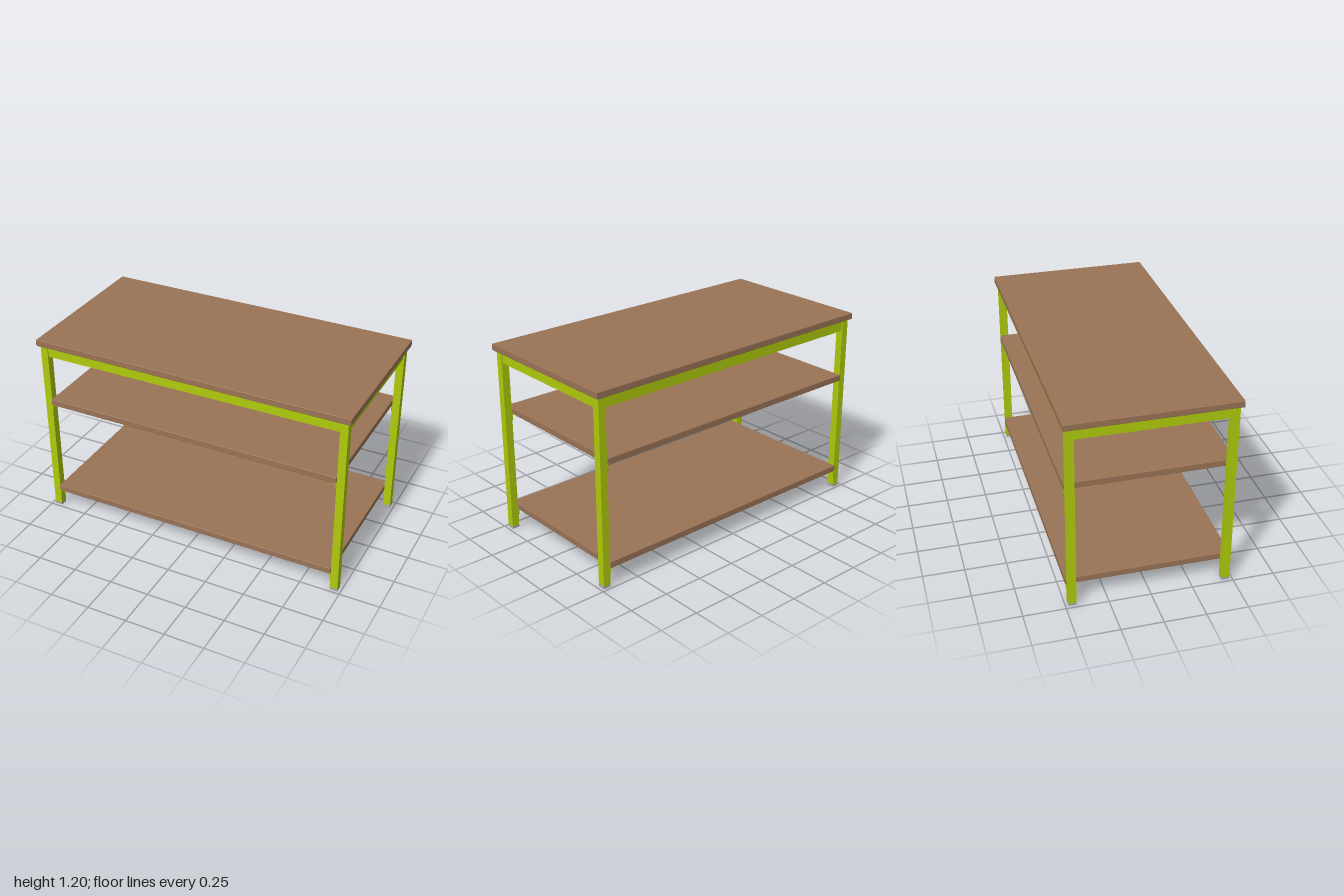
import * as THREE from 'three';
import { RoundedBoxGeometry } from 'three/addons/geometries/RoundedBoxGeometry.js';

export function createModel() {
  const model = new THREE.Group();
  model.name = 'workbench';
  const make = (name, color) => {
    const m = new THREE.MeshStandardMaterial({ color });
    m.name = name;
    return m;
  };
  const wood = make('brown wood', 0x9a7456);
  const green = make('green paint', 0xb0cb0c);
  const grey = make('grey plastic', 0xaaaaaa);

  const add = (name, geometry, material, x, y, z, parent = model) => {
    const mesh = new THREE.Mesh(geometry, material);
    mesh.name = name;
    mesh.position.set(x, y, z);
    parent.add(mesh);
    return mesh;
  };
  const box = (name, size, material, x, y, z, parent) =>
    add(name, new THREE.BoxGeometry(...size), material, x, y, z, parent);

  // Boards with slightly softened edges
  const board = (name, w, d, y) =>
    add(name, new RoundedBoxGeometry(w, 0.04, d, 1, 0.004), wood, 0, y, 0);
  board('worktop', 2, 1, 1.18);
  board('middleShelf', 1.866, 0.98, 0.78);
  board('lowerShelf', 1.866, 0.98, 0.14);

  const legX = 0.957, legZ = 0.459, legW = 0.047;

  // Angle bracket: round-ended wall plate and round-ended shelf plate
  const plateShape = new THREE.Shape();
  plateShape.moveTo(-0.026, 0);
  plateShape.lineTo(-0.026, -0.024);
  plateShape.absarc(0, -0.024, 0.026, Math.PI, Math.PI * 2, false);
  plateShape.lineTo(0.026, 0);
  plateShape.closePath();
  const plate = new THREE.ExtrudeGeometry(plateShape, {
    depth: 0.005, bevelEnabled: false, curveSegments: 8,
  });
  const bracket = (x, y, z) => {
    const group = new THREE.Group();
    group.name = 'shelfBracket';
    group.position.set(x, y, z);
    group.rotation.y = x > 0 ? -Math.PI / 2 : Math.PI / 2;
    add('wallPlate', plate, green, 0, 0, 0, group);
    add('shelfPlate', plate, green, 0, 0, 0, group).rotation.x = -Math.PI / 2;
    group.children[1].position.y = -0.005;
    model.add(group);
  };

  // Legs with feet and brackets at the four corners
  for (const sx of [-1, 1]) {
    for (const sz of [-1, 1]) {
      box('leg', [legW, 1.144, legW], green, sx * legX, 0.588, sz * legZ);
      box('foot', [legW, 0.016, legW], grey, sx * legX, 0.008, sz * legZ);
      for (const y of [0.76, 0.12]) bracket(sx * 0.9335, y, sz * legZ);
    }
  }

  // Rails under the worktop
  for (const s of [-1, 1]) {
    box('longRail', [1.867, 0.064, 0.032], green, 0, 1.122, s * legZ);
    box('sideRail', [0.032, 0.064, 0.871], green, s * legX, 1.122, 0);
  }

  // The shelf plates extend inwards beneath the boards
  model.traverse((o) => {
    if (o.name === 'shelfPlate') o.rotation.x = -Math.PI / 2;
  });
  model.traverse((o) => {
    if (o.name === 'shelfPlate') o.scale.set(1, -1, 1);
  });
  // Turn mirrored plates back into properly wound ones
  model.traverse((o) => {
    if (o.name === 'shelfPlate') {
      o.scale.set(1, 1, 1);
      o.rotation.x = -Math.PI / 2;
      o.position.y = -0.005;
    }
  });
  return model;
}
